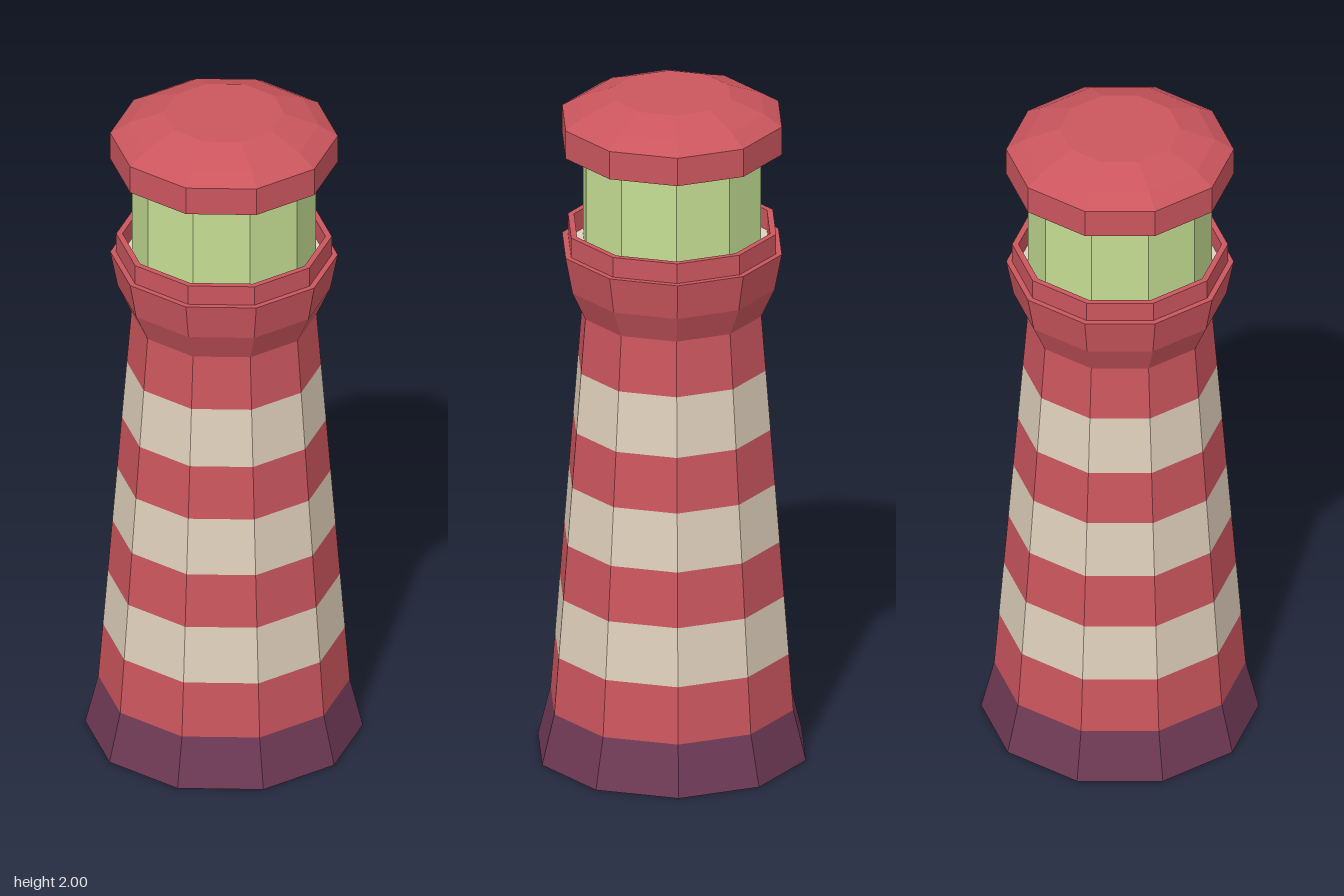
import * as THREE from 'three';

const SIDES = 10;

function paint(name, color) {
  const m = new THREE.MeshStandardMaterial({ color, flatShading: true });
  m.name = name;
  return m;
}

export function createModel() {
  const red = paint('red', 0xcb565e);
  const cream = paint('cream', 0xe0d0bc);
  const green = paint('lantern green', 0xc5de93);
  const purple = paint('dark purple', 0x703a56);

  const model = new THREE.Group();
  model.name = 'lighthouse';

  // Ten-sided turned part; the profile lists [radius, height] from the bottom up
  function turned(name, material, profile) {
    const points = profile.map(([r, y]) => new THREE.Vector2(r, y));
    const mesh = new THREE.Mesh(new THREE.LatheGeometry(points, SIDES), material);
    mesh.name = name;
    model.add(mesh);
  }

  // Flared plinth, closed underneath
  turned('base', purple, [[0, 0], [0.394, 0], [0.357, 0.15]]);

  // Tapering tower in alternating bands
  const levels = [0.15, 0.32, 0.495, 0.66, 0.835, 1.0, 1.18, 1.345];
  const towerRadius = (y) => THREE.MathUtils.mapLinear(y, 0.15, 1.345, 0.357, 0.263);
  for (let i = 0; i < levels.length - 1; i++) {
    const [y0, y1] = [levels[i], levels[i + 1]];
    turned('towerBand' + (i + 1), i % 2 ? cream : red,
      [[towerRadius(y0), y0], [towerRadius(y1), y1]]);
  }

  // Flared gallery with its parapet
  turned('gallery', red, [[0.263, 1.345], [0.302, 1.43], [0.323, 1.54], [0.306, 1.54]]);
  turned('parapet', red, [[0.306, 1.54], [0.306, 1.6], [0.288, 1.6], [0.288, 1.54]]);
  turned('galleryFloor', cream, [[0.288, 1.54], [0.255, 1.54]]);

  // Glazed lantern room
  turned('lantern', green, [[0.261, 1.54], [0.261, 1.845]]);

  // Domed roof, closed underneath
  turned('roof', red, [[0, 1.845], [0.323, 1.845], [0.323, 1.93], [0.27, 1.963], [0.172, 2], [0, 2]]);

  return model;
}
